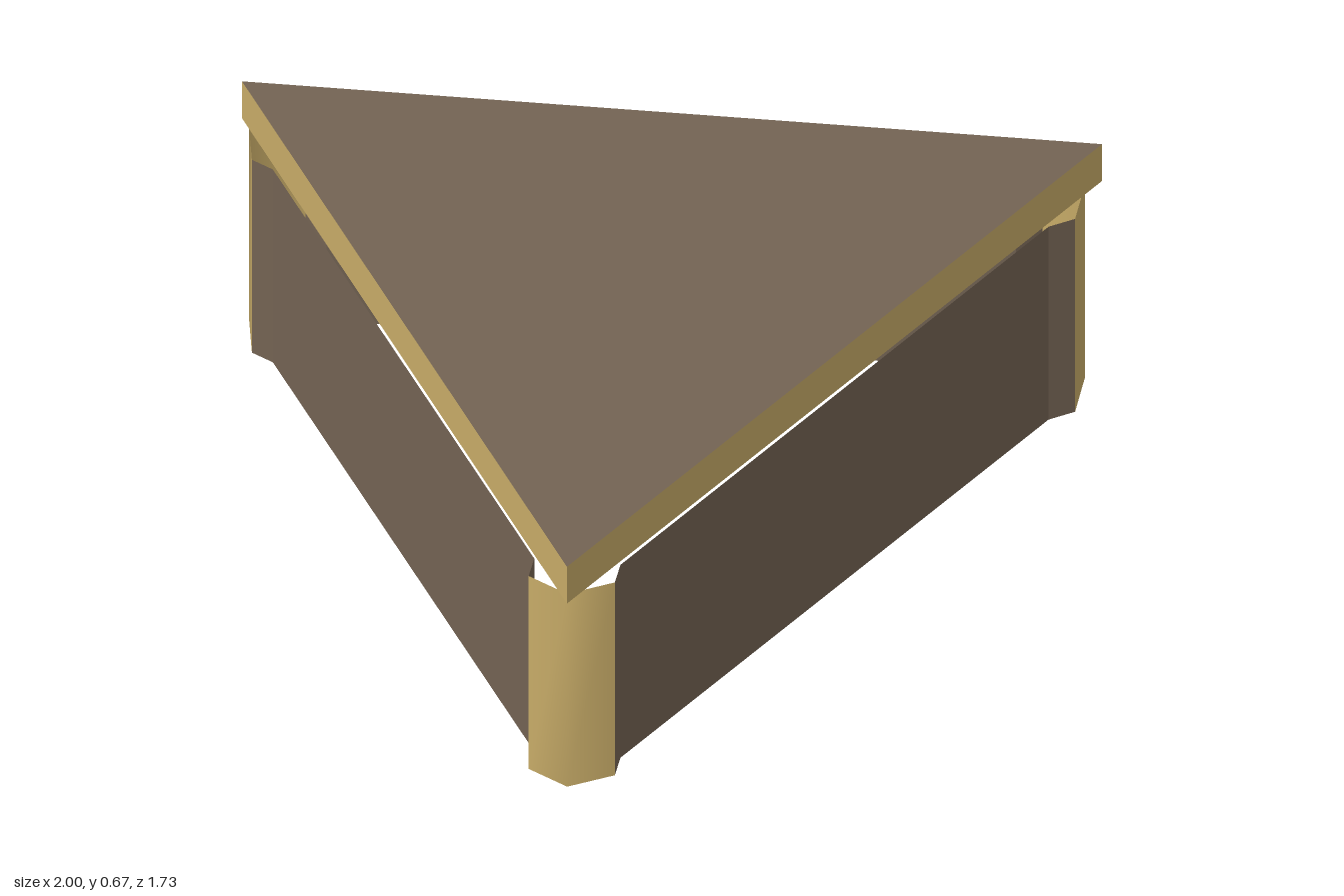
import * as THREE from 'three';

const gold = new THREE.MeshStandardMaterial({ color: 0xc8ac68, side: THREE.DoubleSide });
gold.name = 'gold';
const brown = new THREE.MeshStandardMaterial({ color: 0x736353, side: THREE.DoubleSide });
brown.name = 'brown';

// Upright sheet along [x, z] points, smooth where its faces meet
function sheet(name, points, y0, y1, material) {
  const position = [];
  const index = [];
  points.forEach(([x, z], i) => {
    position.push(x, y0, z, x, y1, z);
    if (i > 0) {
      const a = 2 * (i - 1);
      index.push(a, a + 2, a + 3, a, a + 3, a + 1);
    }
  });
  const geometry = new THREE.BufferGeometry();
  geometry.setAttribute('position', new THREE.Float32BufferAttribute(position, 3));
  geometry.setIndex(index);
  geometry.computeVertexNormals();
  const mesh = new THREE.Mesh(geometry, material);
  mesh.name = name;
  return mesh;
}

export function createModel() {
  const model = new THREE.Group();
  model.name = 'triangularBox';

  // Base: three corner posts, each with two narrow returns, joined by walls
  const base = new THREE.Group();
  base.name = 'base';
  const height = 0.55;
  const corners = [
    [[0.80, 0.83], [0.86, 0.86], [0.975, 0.80], [0.96, 0.69], [0.90, 0.66]],
    [[0.10, -0.70], [0.10, -0.76], [0, -0.845], [-0.10, -0.76], [-0.10, -0.70]],
    [[-0.90, 0.66], [-0.96, 0.69], [-0.96, 0.80], [-0.86, 0.86], [-0.80, 0.83]],
  ];
  corners.forEach((c, i) => {
    const next = corners[(i + 1) % 3];
    base.add(
      sheet('postReturn', c.slice(0, 2), 0, height, brown),
      sheet('cornerPost', c.slice(1, 4), 0, height, gold),
      sheet('postReturn', c.slice(3), 0, height, brown),
      sheet('wall', [c[4], next[0]], 0, height, brown),
    );
  });
  model.add(base);

  // Lid: hollow triangular cap, open underneath
  const lid = new THREE.Group();
  lid.name = 'lid';
  const low = 0.56;
  const high = 0.665;
  const tri = [[-1, 0.83], [1, 0.83], [0, -0.865]];
  tri.forEach((p, i) => lid.add(sheet('lidRim', [p, tri[(i + 1) % 3]], low, high, gold)));
  const shape = new THREE.Shape(tri.map(([x, z]) => new THREE.Vector2(x, -z)));
  const top = new THREE.Mesh(new THREE.ShapeGeometry(shape).rotateX(-Math.PI / 2), brown);
  top.name = 'lidTop';
  top.position.y = high;
  lid.add(top);
  model.add(lid);

  return model;
}
